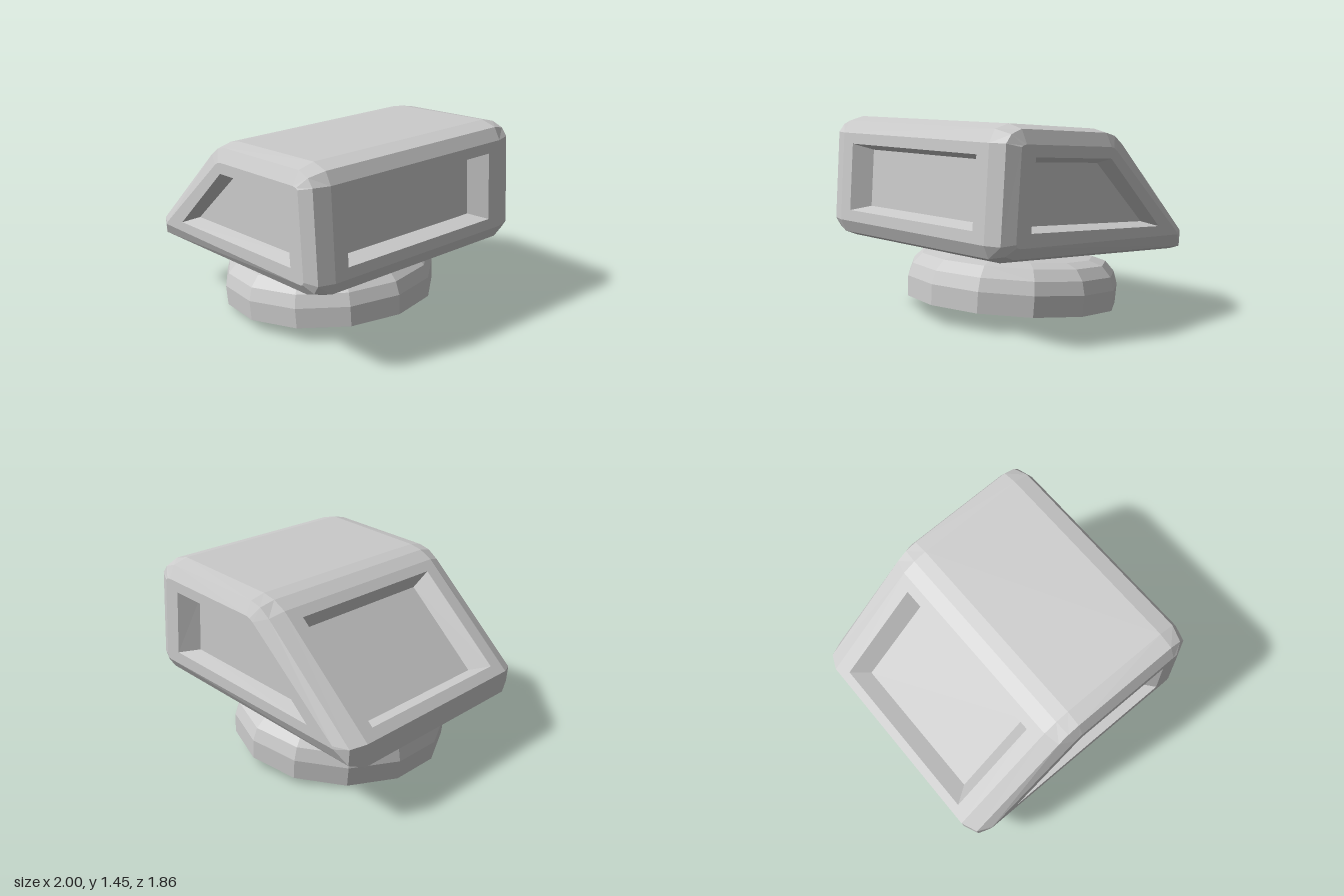
import * as THREE from 'three';

// Body side profile, anticlockwise from the lower tip, at three steps of the edge bevel
const OUTER = [[-0.985, 0.425], [0.86, 0.57], [0.96, 0.61], [1, 0.7], [0.95, 1.34], [0.9, 1.425],
  [0.78, 1.455], [-0.05, 1.39], [-0.15, 1.365], [-0.25, 1.31], [-1, 0.6]];
const MIDDLE = [[-0.94, 0.465], [0.85, 0.605], [0.925, 0.635], [0.965, 0.7], [0.915, 1.34], [0.87, 1.395],
  [0.78, 1.425], [-0.05, 1.365], [-0.14, 1.34], [-0.22, 1.28], [-0.95, 0.585]];
const INNER = [[-0.85, 0.57], [0.84, 0.68], [0.865, 0.69], [0.875, 0.71], [0.825, 1.315], [0.81, 1.325],
  [0.78, 1.33], [-0.05, 1.27], [-0.08, 1.26], [-0.11, 1.24], [-0.84, 0.59]];
const Z = [0.77, 0.885, 0.932];

// Side window: rim and recessed panel
const WINDOW = [[-0.61, 0.66], [0.74, 0.765], [0.7, 1.245], [-0.05, 1.19]];
const PANEL = [[-0.55, 0.69], [0.63, 0.785], [0.6, 1.2], [-0.04, 1.155]];
const DEPTH = 0.12;

const atZ = (points, z) => points.map(([x, y]) => [x, y, z]);

// Collects triangles into one faceted geometry
class Surface {
  positions = [];
  tri(a, b, c) { this.positions.push(...a, ...b, ...c); }
  quad(a, b, c, d) { this.tri(a, b, c); this.tri(a, c, d); }
  bridge(a, b) {
    a.forEach((p, i) => {
      const j = (i + 1) % a.length;
      this.quad(p, a[j], b[j], b[i]);
    });
  }
  // Flat face, with an optional hole, at a constant z
  face(points, z, hole) {
    const to2 = (list) => list.map(([x, y]) => new THREE.Vector2(x, y));
    const all = atZ(hole ? [...points, ...hole] : points, z);
    THREE.ShapeUtils.triangulateShape(to2(points), hole ? [to2(hole).reverse()] : [])
      .forEach((t) => {
        // The hole was reversed, so map its indices back
        const n = points.length;
        const [a, b, c] = t.map((k) => all[k < n ? k : all.length - 1 - (k - n)]);
        const area = (b[0] - a[0]) * (c[1] - a[1]) - (b[1] - a[1]) * (c[0] - a[0]);
        if (area > 0) this.tri(a, b, c); else this.tri(a, c, b);
      });
  }
  geometry() {
    const g = new THREE.BufferGeometry();
    g.setAttribute('position', new THREE.Float32BufferAttribute(this.positions, 3));
    g.computeVertexNormals();
    return g;
  }
}

// Bevelled side with a recessed window
function sideGeometry() {
  const s = new Surface();
  s.bridge(atZ(OUTER, Z[0]), atZ(MIDDLE, Z[1]));
  s.bridge(atZ(MIDDLE, Z[1]), atZ(INNER, Z[2]));
  s.face(INNER, Z[2], WINDOW);
  s.bridge(atZ(WINDOW, Z[2]), atZ(PANEL, Z[2] - DEPTH));
  s.face(PANEL, Z[2] - DEPTH);
  return s.geometry();
}

// Same side facing the other way
function mirrorZ(geometry) {
  const g = geometry.clone();
  const p = g.attributes.position;
  for (let i = 0; i < p.count; i += 3) {
    const [a, b, c] = [0, 1, 2].map((k) => [p.getX(i + k), p.getY(i + k), -p.getZ(i + k)]);
    p.setXYZ(i, ...a);
    p.setXYZ(i + 1, ...c);
    p.setXYZ(i + 2, ...b);
  }
  g.computeVertexNormals();
  return g;
}

// Rectangle lying on a profile edge, sunk by depth
function edgeRect([ax, ay], [bx, by], t0, t1, z, depth) {
  const len = Math.hypot(bx - ax, by - ay);
  const nx = (by - ay) / len, ny = -(bx - ax) / len;
  const at = (t, zz) => [ax + (bx - ax) * t - nx * depth, ay + (by - ay) * t - ny * depth, zz];
  return [at(t0, z), at(t0, -z), at(t1, -z), at(t1, z)];
}

// Wall around the profile; two of its edges carry recessed windows
function shellGeometry() {
  const s = new Surface();
  const windows = {
    3: { rim: [0.125, 0.88], panel: [0.185, 0.825] },
    9: { rim: [0.08, 0.92], panel: [0.12, 0.855] },
  };
  OUTER.forEach((a, i) => {
    const b = OUTER[(i + 1) % OUTER.length];
    const full = edgeRect(a, b, 0, 1, Z[0], 0);
    const w = windows[i];
    if (!w) { s.quad(...full); return; }
    const rim = edgeRect(a, b, ...w.rim, 0.66, 0);
    const panel = edgeRect(a, b, ...w.panel, 0.565, DEPTH);
    s.bridge(full, rim);
    s.bridge(rim, panel);
    s.quad(...panel);
  });
  return s.geometry();
}

export function createModel() {
  const model = new THREE.Group();
  model.name = 'model';
  const material = new THREE.MeshStandardMaterial({ color: 0xcccccc, flatShading: true });
  const thin = material.clone();
  thin.side = THREE.DoubleSide;

  const add = (name, geometry, mat, parent) => {
    const mesh = new THREE.Mesh(geometry, mat);
    mesh.name = name;
    parent.add(mesh);
    return mesh;
  };

  // Wedge-shaped body
  const body = new THREE.Group();
  body.name = 'body';
  model.add(body);
  const side = sideGeometry();
  add('bodyShell', shellGeometry(), material, body);
  add('frontSide', side, material, body);
  add('backSide', mirrorZ(side), material, body);

  // Hollow tilted foot with a short neck
  const profile = [[0.8, 0], [0.805, 0.15], [0.775, 0.245], [0.705, 0.32], [0.6, 0.35],
    [0.395, 0.35], [0.255, 0.4], [0.25, 0.46]].map(([x, y]) => new THREE.Vector2(x, y));
  const foot = add('foot', new THREE.LatheGeometry(profile, 13, Math.PI / 2), thin, model);
  foot.position.set(-0.008, 0.073, 0);
  foot.rotation.z = 0.093;
  foot.scale.z = 1.015;

  return model;
}
